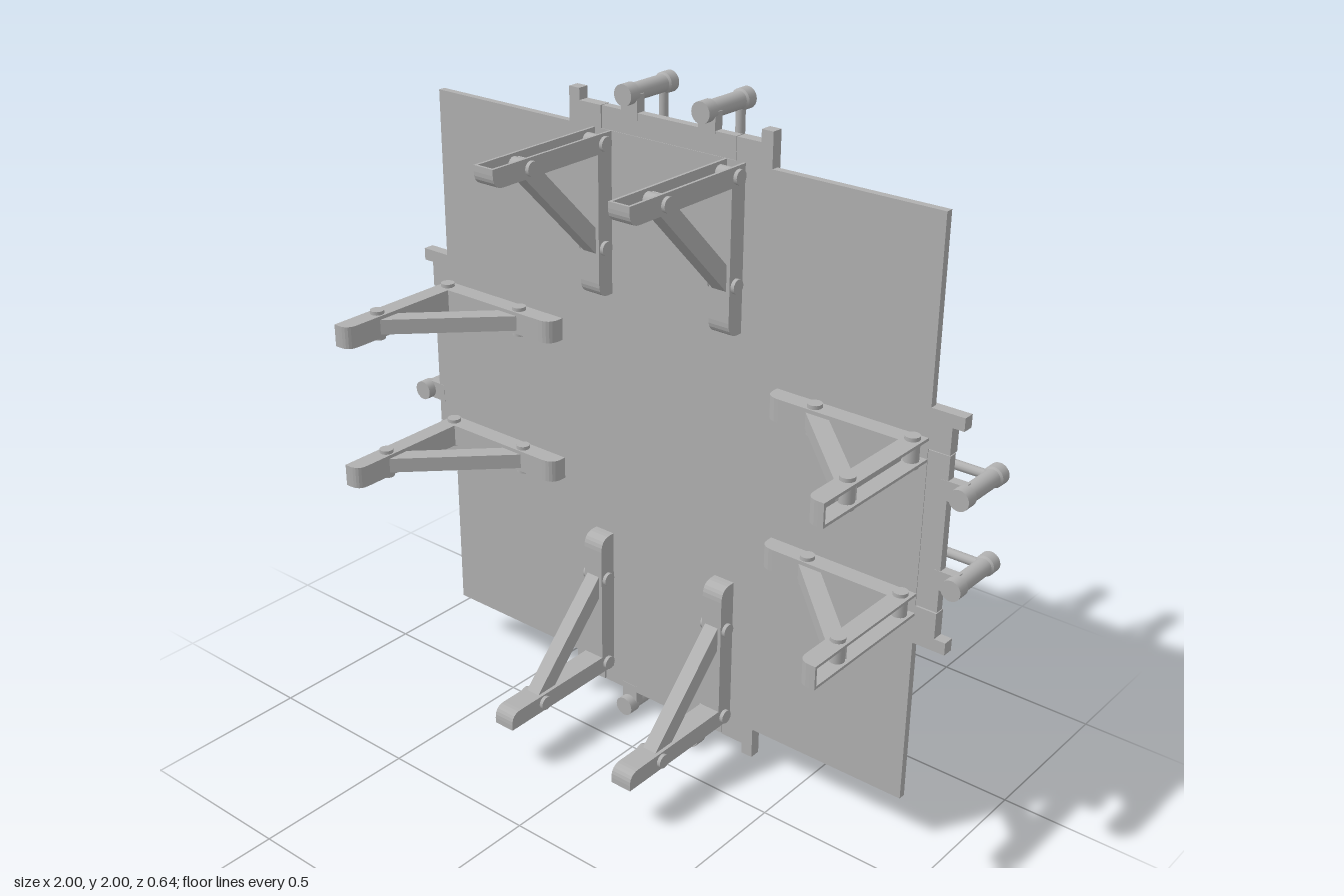
import * as THREE from 'three';

const grey = new THREE.MeshStandardMaterial({ color: 0xb0b0b0 });
grey.name = 'grey metal';

function add(parent, name, geometry, x = 0, y = 0, z = 0) {
  const mesh = new THREE.Mesh(geometry, grey);
  mesh.name = name;
  mesh.position.set(x, y, z);
  parent.add(mesh);
  return mesh;
}

// Extrude a (z, y) profile along x, centred on x = 0
function extrudeX(shape, width) {
  const g = new THREE.ExtrudeGeometry(shape, { depth: width, bevelEnabled: false, curveSegments: 6 });
  return g.translate(0, 0, -width / 2).rotateY(-Math.PI / 2);
}

// Extrude an (x, y) profile between two z values
function extrudeZ(points, z0, z1) {
  const shape = new THREE.Shape(points.map(([x, y]) => new THREE.Vector2(x, y)));
  return new THREE.ExtrudeGeometry(shape, { depth: z1 - z0, bevelEnabled: false }).translate(0, 0, z0);
}

// Inner edge of the L, running from the arm tip to the foot of the wall leg
function innerEdge(s) {
  s.lineTo(0.32, 0.84);
  s.quadraticCurveTo(0.32, 0.802, 0.282, 0.802);
  s.lineTo(-0.085, 0.802);
  s.lineTo(-0.085, 0.43);
  s.quadraticCurveTo(-0.085, 0.386, -0.125, 0.386);
  s.lineTo(-0.142, 0.386);
}

// L-shaped side plate of a bracket
function flangeShape() {
  const s = new THREE.Shape();
  s.moveTo(-0.142, 0.857);
  s.lineTo(0.32, 0.857);
  innerEdge(s);
  return s;
}

// Thin web that closes the inner side of the channel
function webShape() {
  const s = new THREE.Shape();
  s.moveTo(0.32, 0.857);
  innerEdge(s);
  s.lineTo(-0.142, 0.394);
  s.lineTo(-0.125, 0.394);
  s.quadraticCurveTo(-0.093, 0.394, -0.093, 0.43);
  s.lineTo(-0.093, 0.81);
  s.lineTo(0.282, 0.81);
  s.quadraticCurveTo(0.312, 0.81, 0.312, 0.84);
  s.lineTo(0.312, 0.857);
  return s;
}

// Channel-section support bracket with diagonal brace and bolts
function bracket() {
  const g = new THREE.Group();
  g.name = 'bracket';
  for (const s of [-1, 1]) add(g, 'bracketFlange', extrudeX(flangeShape(), 0.008), s * 0.03);
  add(g, 'bracketWeb', extrudeX(webShape(), 0.06));

  const a = new THREE.Vector2(-0.11, 0.53), b = new THREE.Vector2(0.18, 0.825);
  const mid = a.clone().add(b).multiplyScalar(0.5);
  const brace = add(g, 'brace', new THREE.BoxGeometry(0.046, 0.052, a.distanceTo(b) + 0.01), 0, mid.y, mid.x);
  brace.rotation.x = -Math.atan2(b.y - a.y, b.x - a.x);

  for (const [z, y] of [[-0.11, 0.53], [0.18, 0.828], [-0.11, 0.828]]) {
    add(g, 'bolt', new THREE.CylinderGeometry(0.021, 0.021, 0.09, 16).rotateZ(Math.PI / 2), 0, y, z);
  }
  return g;
}

// Peg with end collars and a bent rod returning to the back of the panel
function peg() {
  const g = new THREE.Group();
  g.name = 'peg';
  const profile = [
    [0, -0.317], [0.03, -0.317], [0.03, -0.285], [0.025, -0.28],
    [0.025, -0.158], [0.03, -0.153], [0.03, -0.115], [0, -0.115],
  ].map(([r, h]) => new THREE.Vector2(r, h));
  // flat normals along each profile step, smooth around the axis
  for (let i = 0; i < profile.length - 1; i++) {
    add(g, 'pegBody', new THREE.LatheGeometry([profile[i], profile[i + 1]], 24).rotateX(Math.PI / 2), 0, 0.97);
  }
  const path = new THREE.CurvePath();
  const v = (y, z) => new THREE.Vector3(0, y, z);
  path.add(new THREE.LineCurve3(v(0.96, -0.288), v(0.85, -0.288)));
  path.add(new THREE.CubicBezierCurve3(v(0.85, -0.288), v(0.8, -0.288), v(0.767, -0.255), v(0.767, -0.21)));
  path.add(new THREE.LineCurve3(v(0.767, -0.21), v(0.767, -0.175)));
  add(g, 'pegRod', new THREE.TubeGeometry(path, 28, 0.0135, 12));
  add(g, 'rodFoot', new THREE.CylinderGeometry(0.018, 0.018, 0.012, 16).rotateX(Math.PI / 2), 0, 0.767, -0.186);
  add(g, 'pegNeck', new THREE.BoxGeometry(0.056, 0.07, 0.03), 0, 0.935, -0.157);
  return g;
}

// Everything along one edge of the panel, built for the top edge
function edgeAssembly() {
  const g = new THREE.Group();
  for (const s of [-1, 1]) {
    const support = bracket();
    support.position.x = s * 0.227;
    g.add(support);

    const pin = peg();
    pin.position.x = s * 0.131;
    g.add(pin);

    // Hooked end of the edge rail
    const ear = [[0.231, 0.84], [0.345, 0.84], [0.345, 0.955], [0.308, 0.955], [0.308, 0.921], [0.231, 0.921]];
    const points = ear.map(([x, y]) => [s * x, y]);
    add(g, 'railEar', extrudeZ(s > 0 ? points : points.reverse(), -0.175, -0.141));
  }
  add(g, 'railMiddle', new THREE.BoxGeometry(0.456, 0.081, 0.026), 0, 0.8805, -0.156);
  return g;
}

export function createModel() {
  const model = new THREE.Group();
  model.name = 'panelWithBrackets';

  const body = new THREE.Group();
  body.name = 'body';
  body.position.y = 1;
  model.add(body);

  // Square panel: front sheet with a slightly smaller backing
  add(body, 'frontPanel', new THREE.BoxGeometry(1.714, 1.714, 0.022), 0, 0, -0.152);
  add(body, 'backPanel', new THREE.BoxGeometry(1.664, 1.664, 0.02), 0, 0, -0.172);

  ['topEdge', 'rightEdge', 'bottomEdge', 'leftEdge'].forEach((name, i) => {
    const edge = edgeAssembly();
    edge.name = name;
    edge.rotation.z = -i * Math.PI / 2;
    body.add(edge);
  });
  // the model's own left is +x
  body.getObjectByName('rightEdge').name = 'leftEdgeAssembly';
  body.getObjectByName('leftEdge').name = 'rightEdgeAssembly';
  return model;
}
